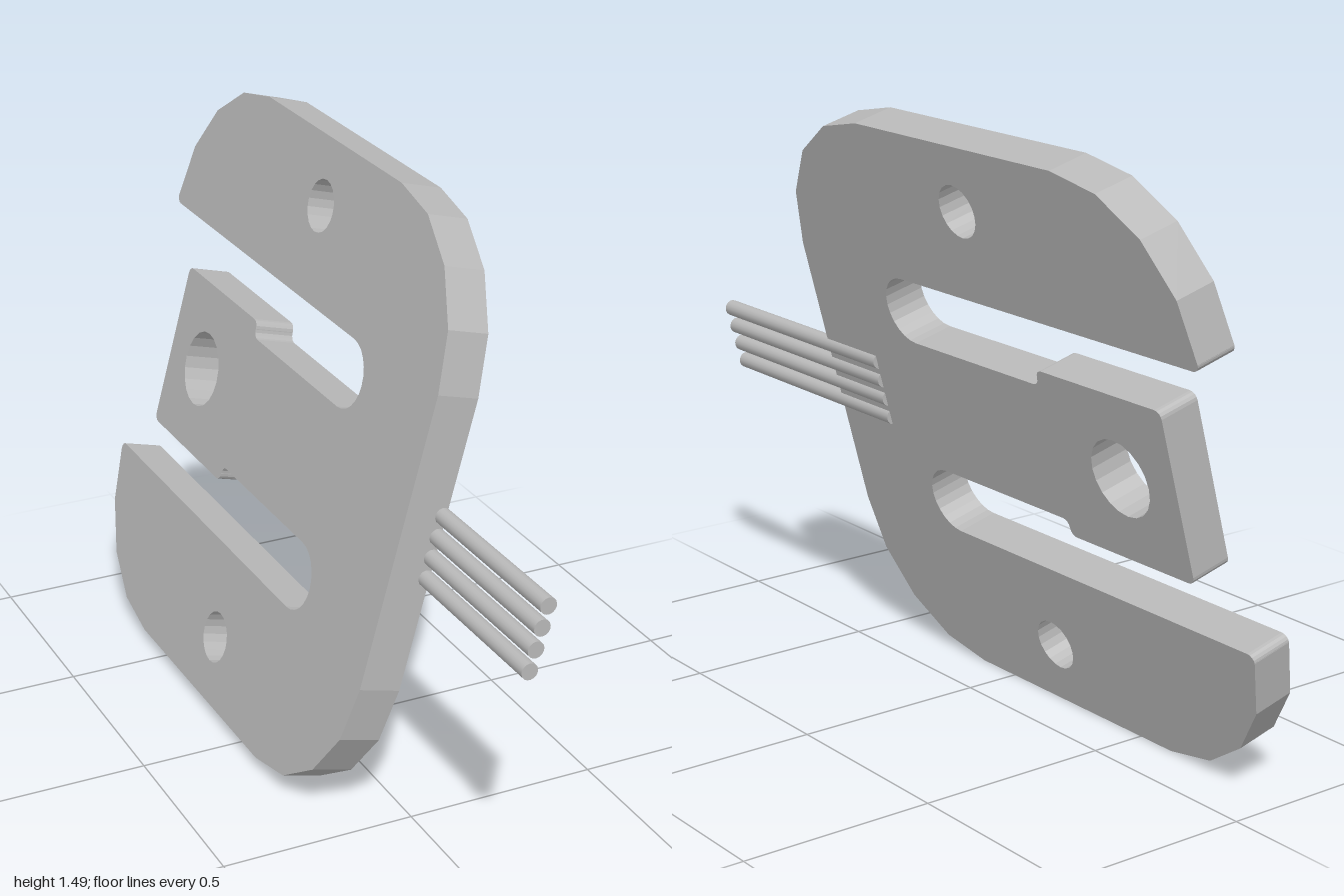
import * as THREE from 'three';

const T = 0.108; // plate thickness

// Points along an arc, angles in degrees
function arc(cx, cy, r, from, to, n) {
  const pts = [];
  for (let i = 0; i <= n; i++) {
    const a = THREE.MathUtils.degToRad(from + (to - from) * i / n);
    pts.push(new THREE.Vector2(cx + r * Math.cos(a), cy + r * Math.sin(a)));
  }
  return pts;
}

// Flat plate with two slots, a central tongue and three holes
function plateGeometry() {
  const lower = [
    ...arc(-0.128, -0.373, 0.385, 180, 270, 4),     // outer corner
    ...arc(0.612, -0.373, 0.385, 270, 360, 4),      // outer corner at open end
    ...arc(0.977, -0.375, 0.02, 0, 90, 4),          // arm tip
    ...arc(-0.092, -0.2675, 0.0875, 270, 90, 12),   // slot end
    ...arc(0.375, -0.20, 0.02, 90, 0, 4),           // step in the tongue
    ...arc(0.415, -0.202, 0.02, 180, 270, 4),
    ...arc(0.815, -0.202, 0.02, 270, 360, 4),       // tongue corner
  ];
  const upper = lower.map(p => new THREE.Vector2(p.x, -p.y)).reverse();
  const shape = new THREE.Shape([...lower, ...upper]);
  for (const [x, y, r] of [[0.637, 0, 0.1], [0.22, 0.59, 0.067], [0.22, -0.59, 0.067]]) {
    shape.holes.push(new THREE.Path(arc(x, y, r, 360, 0, 20).slice(0, -1)));
  }
  const g = new THREE.ExtrudeGeometry(shape, { depth: T, bevelEnabled: false });
  g.translate(0, 0, -T / 2);
  g.rotateY(Math.PI / 2);
  return g;
}

export function createModel() {
  const model = new THREE.Group();
  model.name = 'slottedPlateWithWires';
  const metal = new THREE.MeshStandardMaterial({ color: 0xb8b8b8 });
  metal.name = 'grey metal';

  // Everything leans sideways together
  const leaning = new THREE.Group();
  leaning.name = 'leaningAssembly';
  leaning.position.y = 0.746;
  leaning.rotation.z = THREE.MathUtils.degToRad(-15);
  model.add(leaning);

  const plate = new THREE.Mesh(plateGeometry(), metal);
  plate.name = 'plate';
  leaning.add(plate);

  // Four parallel wires set into the face
  const wireGeometry = new THREE.CylinderGeometry(0.021, 0.021, 0.705, 16);
  wireGeometry.rotateX(Math.PI / 2);
  for (let i = 0; i < 4; i++) {
    const wire = new THREE.Mesh(wireGeometry, metal);
    wire.name = 'wire' + (i + 1);
    wire.position.set(0.045, (i - 1.5) * 0.053, 0.6475);
    leaning.add(wire);
  }
  return model;
}
